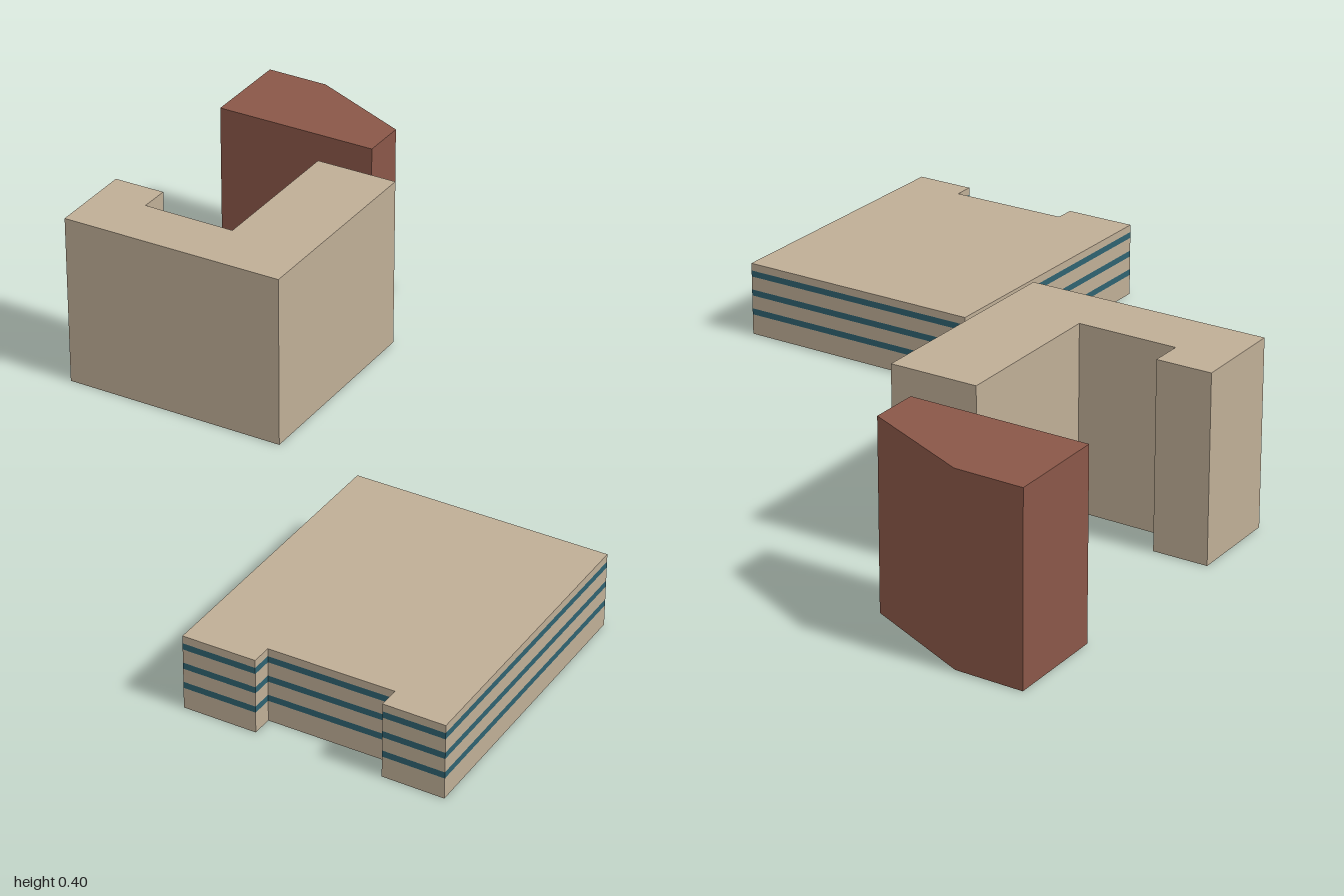
import * as THREE from 'three';

const stone = new THREE.MeshStandardMaterial({ color: 0xbfae96 });
const brick = new THREE.MeshStandardMaterial({ color: 0x8a5748 });
const glass = new THREE.MeshStandardMaterial({ color: 0x2f6270 });

// Footprints as [x, z] corners, running anticlockwise seen from above
const brickPlan = [[-0.905, -0.38], [-0.55, -0.542], [-0.595, -0.64], [-0.865, -0.64], [-1, -0.58]];
const hookPlan = [
  [-0.667, 0.177], [-0.19, -0.045], [-0.398, -0.495], [-0.573, -0.414],
  [-0.419, -0.085], [-0.617, 0.005], [-0.646, -0.059], [-0.755, -0.008],
];
const lowPlan = [
  [0.483, 0.64], [0.628, 0.573], [0.61, 0.532], [0.857, 0.417],
  [0.876, 0.459], [0.997, 0.404], [0.726, -0.19], [0.214, 0.042],
];

function addMesh(group, name, geometry, material) {
  const mesh = new THREE.Mesh(geometry, material);
  mesh.name = name;
  group.add(mesh);
}

// Open ring of flat walls between two heights
function walls(plan, y0, y1) {
  const pos = [];
  plan.forEach(([ax, az], i) => {
    const [bx, bz] = plan[(i + 1) % plan.length];
    pos.push(ax, y0, az, bx, y0, bz, bx, y1, bz, ax, y0, az, bx, y1, bz, ax, y1, az);
  });
  const geometry = new THREE.BufferGeometry();
  geometry.setAttribute('position', new THREE.Float32BufferAttribute(pos, 3));
  geometry.computeVertexNormals();
  return geometry;
}

// Flat cap, facing up (side = 1) or down (side = -1)
function cap(plan, y, side) {
  const shape = new THREE.Shape(plan.map(([x, z]) => new THREE.Vector2(x, -z * side)));
  return new THREE.ShapeGeometry(shape).rotateX(-side * Math.PI / 2).translate(0, y, 0);
}

// Closed building; bands lists the [bottom, top] heights of window strips
function building(name, plan, height, material, bands = []) {
  const group = new THREE.Group();
  group.name = name;
  let y = 0;
  for (const [low, high] of bands) {
    addMesh(group, 'wall', walls(plan, y, low), material);
    addMesh(group, 'windowBand', walls(plan, low, high), glass);
    y = high;
  }
  addMesh(group, 'wall', walls(plan, y, height), material);
  addMesh(group, 'roof', cap(plan, height, 1), material);
  addMesh(group, 'floor', cap(plan, 0, -1), material);
  return group;
}

export function createModel() {
  const model = new THREE.Group();
  model.name = 'buildings';
  const bands = [0, 1, 2].map((i) => [0.046 + i * 0.0445, 0.06 + i * 0.0445]);
  model.add(
    building('brickBuilding', brickPlan, 0.402, brick),
    building('hookedBuilding', hookPlan, 0.402, stone),
    building('lowBuilding', lowPlan, 0.166, stone, bands),
  );
  return model;
}
